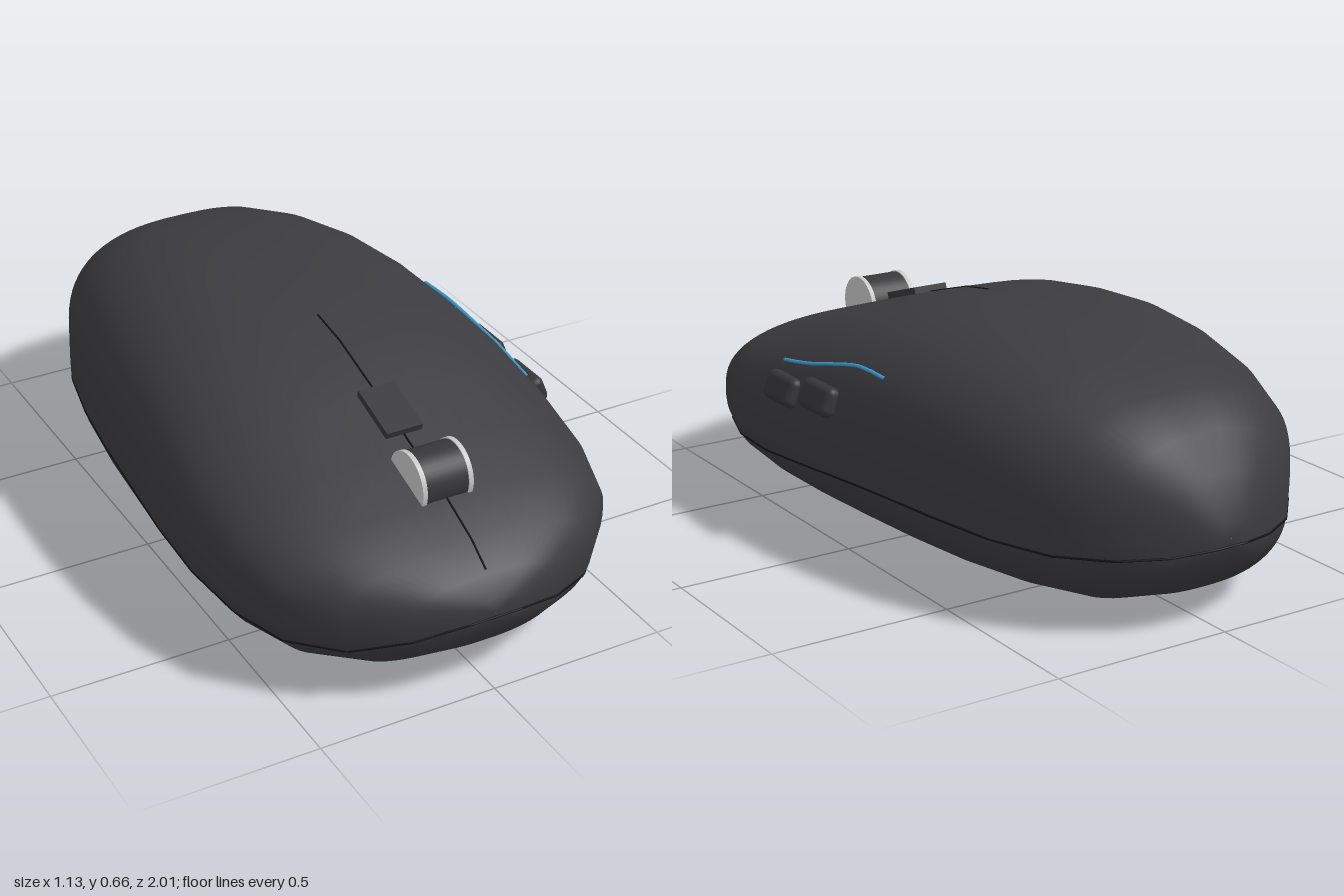
import * as THREE from 'three';
import { RoundedBoxGeometry } from 'three/addons/geometries/RoundedBoxGeometry.js';

const mat = (name, color, side = THREE.FrontSide) => {
  const m = new THREE.MeshStandardMaterial({ color, side });
  m.name = name;
  return m;
};

// Body sections, front to back: z, half width, top, bottom, widest height, seam height
const SECTIONS = [
  [1.0, 0.08, 0.28, 0.2, 0.24, 0.225],
  [0.96, 0.22, 0.33, 0.13, 0.24, 0.195],
  [0.88, 0.37, 0.385, 0.07, 0.245, 0.163],
  [0.76, 0.485, 0.437, 0.035, 0.25, 0.16],
  [0.6, 0.537, 0.49, 0.015, 0.255, 0.163],
  [0.4, 0.556, 0.555, 0.006, 0.26, 0.175],
  [0.2, 0.552, 0.615, 0.002, 0.265, 0.193],
  [0.0, 0.537, 0.645, 0.0, 0.27, 0.206],
  [-0.2, 0.52, 0.66, 0.002, 0.27, 0.215],
  [-0.4, 0.493, 0.65, 0.007, 0.268, 0.214],
  [-0.6, 0.449, 0.615, 0.018, 0.265, 0.208],
  [-0.77, 0.38, 0.565, 0.036, 0.262, 0.205],
  [-0.89, 0.273, 0.492, 0.08, 0.258, 0.207],
  [-0.96, 0.16, 0.4, 0.14, 0.252, 0.213],
  [-1.0, 0.058, 0.29, 0.21, 0.245, 0.225],
];
const CX = -0.01;       // body centre line
const N_TOP = 2.7, N_BOTTOM = 2.6;

const power = (v, n) => Math.sign(v) * Math.pow(Math.abs(v), 2 / n);

// Point on a section's rounded outline
function outline([z, w, top, bottom, c], a) {
  const s = Math.sin(a), n = s >= 0 ? N_TOP : N_BOTTOM;
  const h = s >= 0 ? top - c : c - bottom;
  return new THREE.Vector3(CX + w * power(Math.cos(a), n), c + h * power(s, n), z);
}

// Angle below the widest height at which the seam lies
function seamAngle([, , , bottom, c, seam]) {
  return Math.asin(Math.pow((c - seam) / (c - bottom), N_BOTTOM / 2));
}

// Section interpolated at any z
function sectionAt(z) {
  let i = 0;
  while (i < SECTIONS.length - 2 && SECTIONS[i + 1][0] > z) i++;
  const a = SECTIONS[i], b = SECTIONS[i + 1], t = (z - a[0]) / (b[0] - a[0]);
  return a.map((v, k) => v + (b[k] - v) * t);
}

// Skin between two angles of every section, closed at both ends
function shell(range, steps) {
  const tip = ([z, , , , c]) => [z, 0.001, c + 0.001, c - 0.001, c, c];
  const rows = [tip(SECTIONS[0]), ...SECTIONS, tip(SECTIONS[SECTIONS.length - 1])];
  const pos = [], idx = [];
  rows.forEach((row, i) => {
    const [from, to] = range(seamAngle(row));
    for (let j = 0; j <= steps; j++) {
      pos.push(...outline(row, from + (to - from) * j / steps).toArray());
      if (i < rows.length - 1 && j < steps) {
        const a = i * (steps + 1) + j, b = a + steps + 1;
        idx.push(a, b, a + 1, a + 1, b, b + 1);
      }
    }
  });
  const g = new THREE.BufferGeometry();
  g.setAttribute('position', new THREE.Float32BufferAttribute(pos, 3));
  g.setIndex(idx);
  g.computeVertexNormals();
  return g;
}

// Thin line following straight runs between points
function line(points, radius, segments) {
  const path = new THREE.CurvePath();
  for (let i = 1; i < points.length; i++) path.add(new THREE.LineCurve3(points[i - 1], points[i]));
  return new THREE.TubeGeometry(path, segments, radius, 6, false);
}

export function createModel() {
  const body = mat('charcoal body', 0x3c3c40);
  const control = mat('dark control', 0x37373a);
  const groove = mat('black groove', 0x121214);
  const silver = mat('silver rim', 0xc9c9c9);
  const blue = mat('blue accent', 0x3d9bd0);

  const model = new THREE.Group();
  model.name = 'computerMouse';
  const add = (name, geometry, material, x = 0, y = 0, z = 0) => {
    const m = new THREE.Mesh(geometry, material);
    m.name = name;
    m.position.set(x, y, z);
    model.add(m);
    return m;
  };

  // Upper and lower shells meet at the seam
  add('upperShell', shell(a => [-a, Math.PI + a], 40), body);
  add('lowerShell', shell(a => [Math.PI + a, 2 * Math.PI - a], 28), body);

  // Seam all round the body
  const left = SECTIONS.map(s => outline(s, -seamAngle(s)));
  const right = SECTIONS.map(s => outline(s, Math.PI + seamAngle(s))).reverse();
  add('seam', line([...left, ...right, left[0]], 0.0035, 260), groove);

  // Groove between the two main buttons
  const split = [0.95, 0.88, 0.76, 0.6, 0.4, 0.2, 0.08].map(z => outline(sectionAt(z), Math.PI / 2));
  add('buttonSplit', line(split, 0.003, 80), groove);

  // Scroll wheel with a rim on each end
  const wheel = (name, r, width, x, material) => {
    add(name, new THREE.CylinderGeometry(r, r, width, 40), material, x, 0.463, 0.683).rotation.z = Math.PI / 2;
  };
  wheel('scrollWheel', 0.08, 0.122, CX, control);
  for (const s of [-1, 1]) wheel(s > 0 ? 'leftWheelRim' : 'rightWheelRim', 0.083, 0.013, CX + s * 0.067, silver);

  // Button behind the wheel
  add('topButton', new THREE.BoxGeometry(0.106, 0.03, 0.16), control, CX, 0.537, 0.468).rotation.x = 0.31;

  // Two thumb buttons on the left side
  [['frontThumbButton', 0.533, 0.386, 0.287], ['rearThumbButton', 0.526, 0.409, 0.098]].forEach(([name, x, y, z]) => {
    add(name, new RoundedBoxGeometry(0.046, 0.084, 0.152, 4, 0.021), control, x, y, z).rotation.z = 0.4;
  });

  // Blue accent line above the thumb buttons
  const accent = [[0.488, 0.445, 0.355], [0.489, 0.457, 0.28], [0.486, 0.472, 0.2], [0.477, 0.494, 0.1],
    [0.465, 0.513, 0.0], [0.462, 0.515, -0.06], [0.46, 0.512, -0.14]]
    .map(([x, y, z]) => {
      const [, w, top, , c] = sectionAt(z);
      const surface = CX + w * Math.pow(1 - Math.pow((y - c) / (top - c), N_TOP), 1 / N_TOP);
      return new THREE.Vector3(Math.max(x, surface + 0.001), y, z);
    });
  add('accentLine', new THREE.TubeGeometry(new THREE.CatmullRomCurve3(accent), 60, 0.005, 6), blue);

  return model;
}
